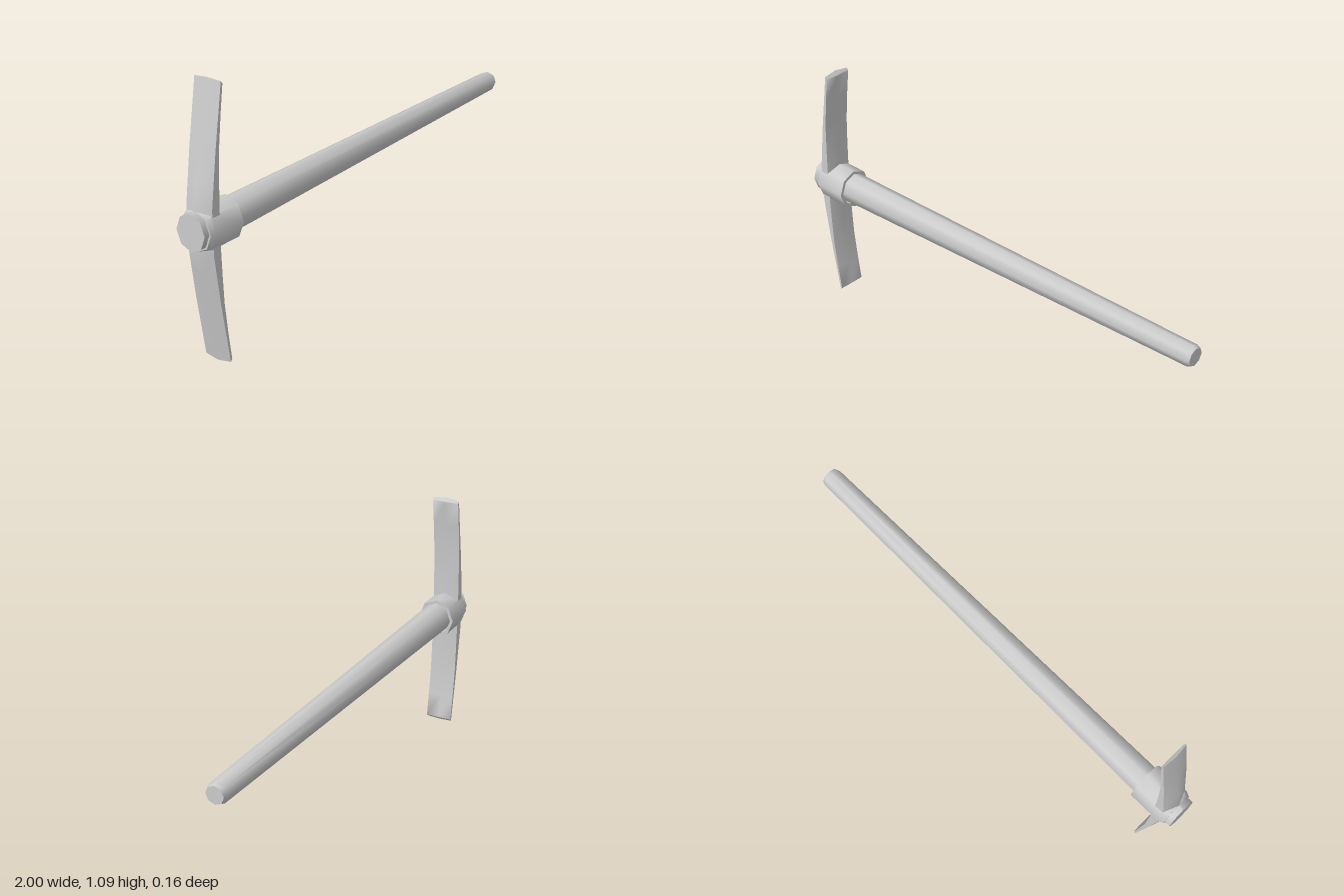
import * as THREE from 'three';
import { toCreasedNormals } from 'three/addons/utils/BufferGeometryUtils.js';

const material = new THREE.MeshStandardMaterial({ color: 0xcccccc });

// Skin a list of equal-length rings of [x, y, z] points and cap both ends.
function loft(rings, crease) {
  const n = rings[0].length, index = [];
  const last = (rings.length - 1) * n;
  for (let i = 0; i < rings.length - 1; i++) {
    for (let j = 0; j < n; j++) {
      const a = i * n + j, b = i * n + (j + 1) % n;
      index.push(a, b, b + n, a, b + n, a + n);
    }
  }
  for (let j = 1; j < n - 1; j++) {
    index.push(0, j + 1, j, last, last + j, last + j + 1);
  }
  const geometry = new THREE.BufferGeometry();
  geometry.setAttribute('position', new THREE.Float32BufferAttribute(rings.flat(2), 3));
  geometry.setIndex(index);
  return toCreasedNormals(geometry, crease);
}

// Octagonal ring facing along x, a corner at the top.
function octagon(x, y, ry, rz) {
  return Array.from({ length: 8 }, (_, i) => {
    const a = i * Math.PI / 4;
    return [x, y + ry * Math.cos(a), rz * Math.sin(a)];
  });
}

export function createModel() {
  const group = new THREE.Group();
  const add = (name, geometry) => {
    const mesh = new THREE.Mesh(geometry, material);
    mesh.name = name;
    group.add(mesh);
  };
  const midY = 0.548;

  // Tapering handle with a small bevel at the grip end
  add('handle', loft([
    octagon(-1, 0.551, 0.073, 0.066),
    octagon(-0.81, 0.553, 0.068, 0.063),
    octagon(0.985, 0.593, 0.044, 0.044),
    octagon(1, 0.593, 0.038, 0.038),
  ], 0.85));

  // Socket collar, hollow toward the grip
  add('collar', loft([
    octagon(-0.975, midY, 0.078, 0.072),
    octagon(-0.955, midY, 0.088, 0.082),
    octagon(-0.81, midY, 0.088, 0.082),
    octagon(-0.81, midY, 0.074, 0.068),
    octagon(-0.9, midY, 0.07, 0.064),
  ], 0.85));

  // Head: ridged sections as [height from middle, outer x, inner x, slant of the tip]
  const half = [
    [0.085, -0.977, -0.9, 0],
    [0.18, -0.957, -0.9, 0],
    [0.29, -0.935, -0.898, 0],
    [0.42, -0.909, -0.885, 0],
    [0.528, -0.887, -0.871, 0.016],
  ];
  const section = ([h, outer, inner, slant], side) => {
    const t = inner - outer, w = 0.06;
    const y = (k) => midY + side * (h + k * slant);
    const outerEdge = outer + 0.35 * t, innerEdge = inner - 0.15 * t;
    return [
      [innerEdge, y(0), w], [inner, y(0), 0], [innerEdge, y(0), -w],
      [outerEdge, y(0.6), -w], [outer, y(1), 0], [outerEdge, y(0.6), w],
    ];
  };
  add('pickHead', loft([
    ...half.map((s) => section(s, -1)).reverse(),
    ...half.map((s) => section(s, 1)),
  ], 0.95));

  return group;
}
